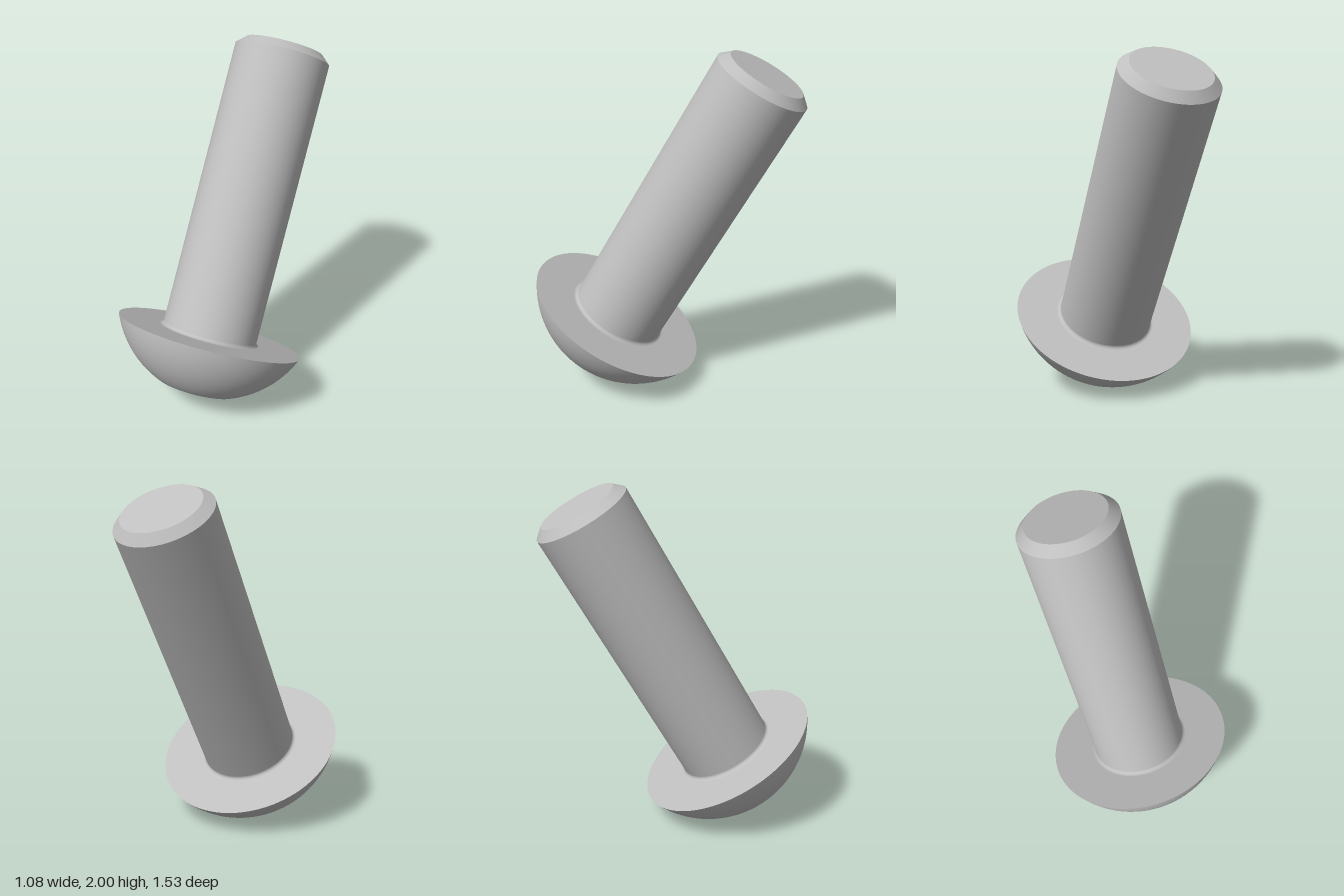
import * as THREE from 'three';

export function createModel() {
  const steel = new THREE.MeshStandardMaterial({ color: 0xbfbfbf });
  steel.name = 'steel grey';

  const model = new THREE.Group();
  model.name = 'buttonHeadScrew';
  const screw = new THREE.Group();
  screw.name = 'tiltedScrew';
  model.add(screw);

  const add = (name, geometry) => {
    const mesh = new THREE.Mesh(geometry, steel);
    mesh.name = name;
    screw.add(mesh);
  };
  // Each profile is turned on its own, so edges between them stay sharp
  const turn = (name, points) =>
    add(name, new THREE.LatheGeometry(points.map(([r, y]) => new THREE.Vector2(r, y)), 96));

  const headR = 0.54, headH = 0.313, faceR = 0.232;
  const shaftR = 0.277, shaftTop = 1.668, tipR = 0.224, tipTop = 1.716;
  const hexR = 0.205, hexDepth = 0.22, fillet = 0.02;

  // Head dome: a zone of a sphere centred on the axis
  const centreY = 0.2233, domeR = Math.hypot(headR, centreY);
  const a0 = Math.asin(faceR / domeR), a1 = Math.asin(headR / domeR);
  const dome = [];
  for (let i = 0; i <= 20; i++) {
    const a = a0 + (a1 - a0) * i / 20;
    dome.push([domeR * Math.sin(a), centreY - domeR * Math.cos(a)]);
  }
  turn('headDome', dome);
  turn('headSeat', [[headR, 0], [shaftR + fillet, 0]]);

  // Fillet running smoothly into the shaft
  const shaft = [];
  for (let i = 0; i <= 6; i++) {
    const a = i / 6 * Math.PI / 2;
    shaft.push([shaftR + fillet * (1 - Math.sin(a)), fillet * (1 - Math.cos(a))]);
  }
  shaft.push([shaftR, shaftTop]);
  turn('shaft', shaft);
  turn('tipChamfer', [[shaftR, shaftTop], [tipR, tipTop]]);
  turn('tipFace', [[tipR, tipTop], [0, tipTop]]);

  // Head face with hexagonal opening
  const face = new THREE.Shape().absarc(0, 0, faceR, 0, Math.PI * 2);
  const hex = [];
  for (let i = 0; i < 6; i++) {
    const a = i * Math.PI / 3;
    hex.push(new THREE.Vector2(hexR * Math.cos(a), hexR * Math.sin(a)));
  }
  face.holes.push(new THREE.Path(hex));
  add('headFace', new THREE.ShapeGeometry(face, 48).rotateX(Math.PI / 2).translate(0, -headH, 0));

  // Socket walls, mirrored to face inward, and floor
  const walls = new THREE.CylinderGeometry(hexR, hexR, hexDepth, 6, 1, true, Math.PI / 2)
    .toNonIndexed().scale(-1, 1, 1).translate(0, -headH + hexDepth / 2, 0);
  walls.computeVertexNormals();
  add('socketWalls', walls);
  add('socketFloor', new THREE.CircleGeometry(hexR, 6).rotateX(Math.PI / 2)
    .translate(0, -headH + hexDepth, 0));

  screw.rotation.x = -THREE.MathUtils.degToRad(29.2);
  screw.position.set(0, 0.39, 0.292);
  return model;
}
